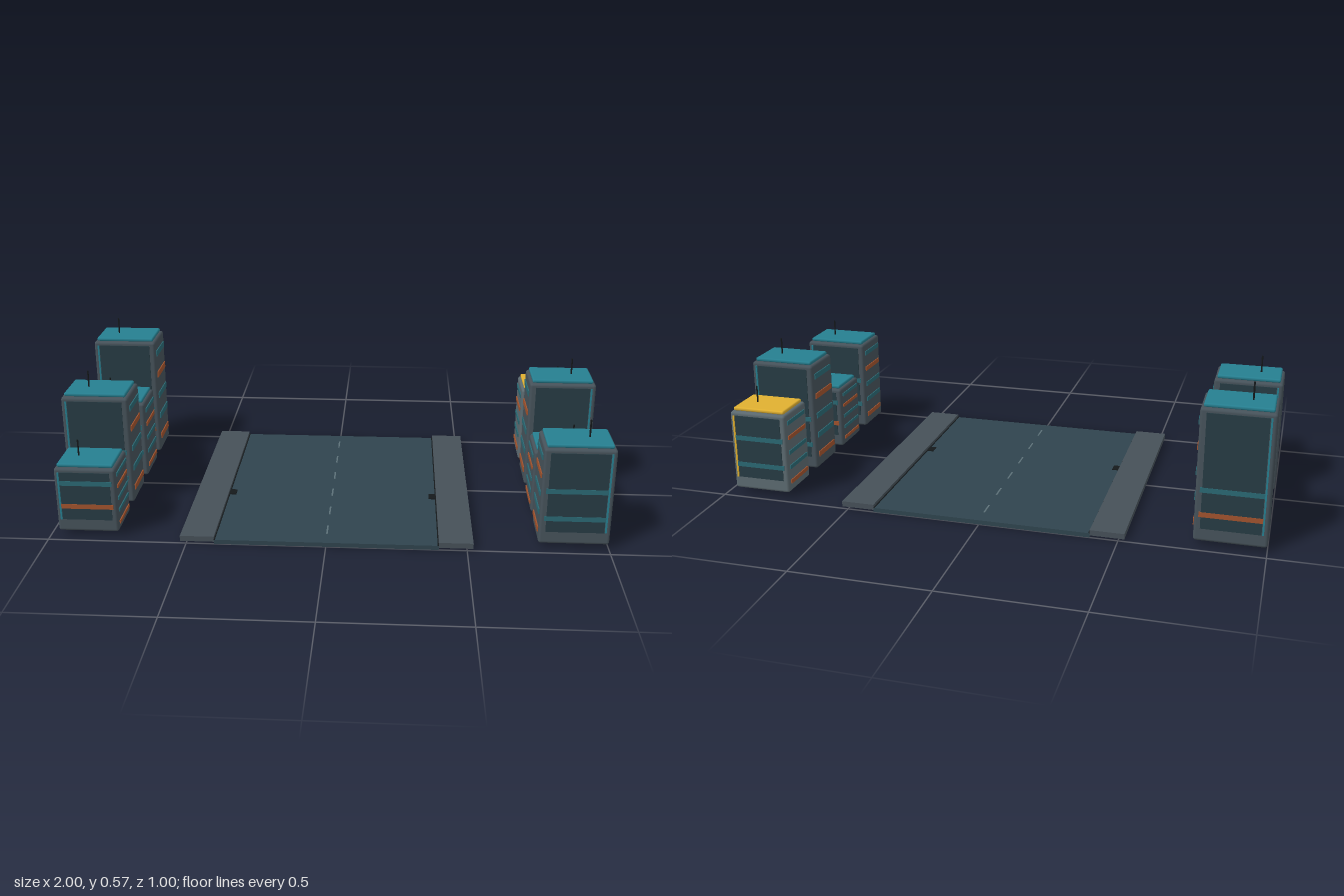
import * as THREE from 'three';
import { RoundedBoxGeometry } from 'three/addons/geometries/RoundedBoxGeometry.js';

const mat = (color) => new THREE.MeshStandardMaterial({ color });
const wall = mat(0x46525a), paleWall = mat(0x5c6a70), glass = mat(0x263b43);
const teal = mat(0x267f90), dimTeal = mat(0x2a6873), orange = mat(0xa0522d);
const yellow = mat(0xe0b030), black = mat(0x15191b);
const asphalt = mat(0x2f444e), pavement = mat(0x465058), paint = mat(0x5c7078);

function add(parent, name, geometry, material, x, y, z) {
  const mesh = new THREE.Mesh(geometry, material);
  mesh.name = name;
  mesh.position.set(x, y, z);
  parent.add(mesh);
  return mesh;
}
const box = (w, h, d) => new THREE.BoxGeometry(w, h, d);

const BASE = 0.02, DEPTH = 0.18;

// One tower; side is +1 or -1, and its banded face looks at the road
function createBuilding({ side, z, width, top, bright, warm }) {
  const g = new THREE.Group();
  g.name = 'building';
  g.position.set(side * (0.75 + width / 2), 0, z);
  const h = top - BASE;
  const accent = bright ? yellow : teal;

  add(g, 'walls', new RoundedBoxGeometry(width, h, DEPTH, 2, 0.01), bright ? paleWall : wall, 0, BASE + h / 2, 0);
  add(g, 'roof', new RoundedBoxGeometry(width * 0.92, 0.014, DEPTH * 0.86, 2, 0.006), accent, 0, top + 0.007, 0);
  add(g, 'antenna', new THREE.CylinderGeometry(0.003, 0.003, 0.078, 8), black, side * 0.04, top + 0.037, 0);

  // Glazed front and back with two bands and an accent strip
  const low = 0.068, high = top - 0.014;
  for (const f of [1, -1]) {
    const face = f * DEPTH / 2;
    add(g, 'glassPanel', box(width * 0.82, high - low, 0.006), glass, 0, (low + high) / 2, face);
    add(g, 'lowerBand', box(width * 0.88, 0.018, 0.008), warm ? orange : dimTeal, 0, 0.12, face);
    add(g, 'upperBand', box(width * 0.88, 0.018, 0.008), dimTeal, 0, warm ? 0.21 : 0.225, face);
    add(g, 'accentStrip', box(0.006, high - low, 0.009), accent, side * width * 0.43, (low + high) / 2, face);
  }

  // Window bands on the road side
  for (let i = 0; i < 5; i++) {
    const y = BASE + h * (0.13 + 0.19 * i);
    add(g, 'windowBand', box(0.008, h * 0.05, 0.14), i % 3 === 0 ? orange : dimTeal, -side * width / 2, y, 0);
  }
  return g;
}

export function createModel() {
  const model = new THREE.Group();
  model.name = 'cityStreet';

  // Road, pavements and gutters
  add(model, 'road', box(0.8, 0.016, 1), asphalt, 0, 0.01, 0);
  for (const s of [1, -1]) {
    add(model, 'pavement', box(0.122, 0.02, 1), pavement, s * 0.461, 0.02, 0);
    add(model, 'gutter', box(0.004, 0.003, 1), black, s * 0.398, 0.0185, 0);
    add(model, 'drain', box(0.025, 0.004, 0.04), black, s * 0.385, 0.019, 0.1);
  }

  // Dashed centre line
  for (let i = 0; i < 6; i++) {
    add(model, 'laneDash', box(0.006, 0.002, 0.065), paint, 0, 0.0185, -0.4 + i * 0.16);
  }

  // Two rows of towers, from back to front
  const rows = [
    { side: -1, tops: [0.498, 0.325, 0.44, 0.265], warm: [0, 3] },
    { side: 1, tops: [0.325, 0.44, 0.265, 0.382], warm: [2] },
  ];
  for (const { side, tops, warm } of rows) {
    tops.forEach((top, i) => model.add(createBuilding({
      side, top,
      z: -0.375 + i * 0.25,
      width: (i % 2 === 0) === (side < 0) ? 0.25 : 0.22,
      bright: side > 0 && i === 0,
      warm: warm.includes(i),
    })));
  }
  return model;
}
